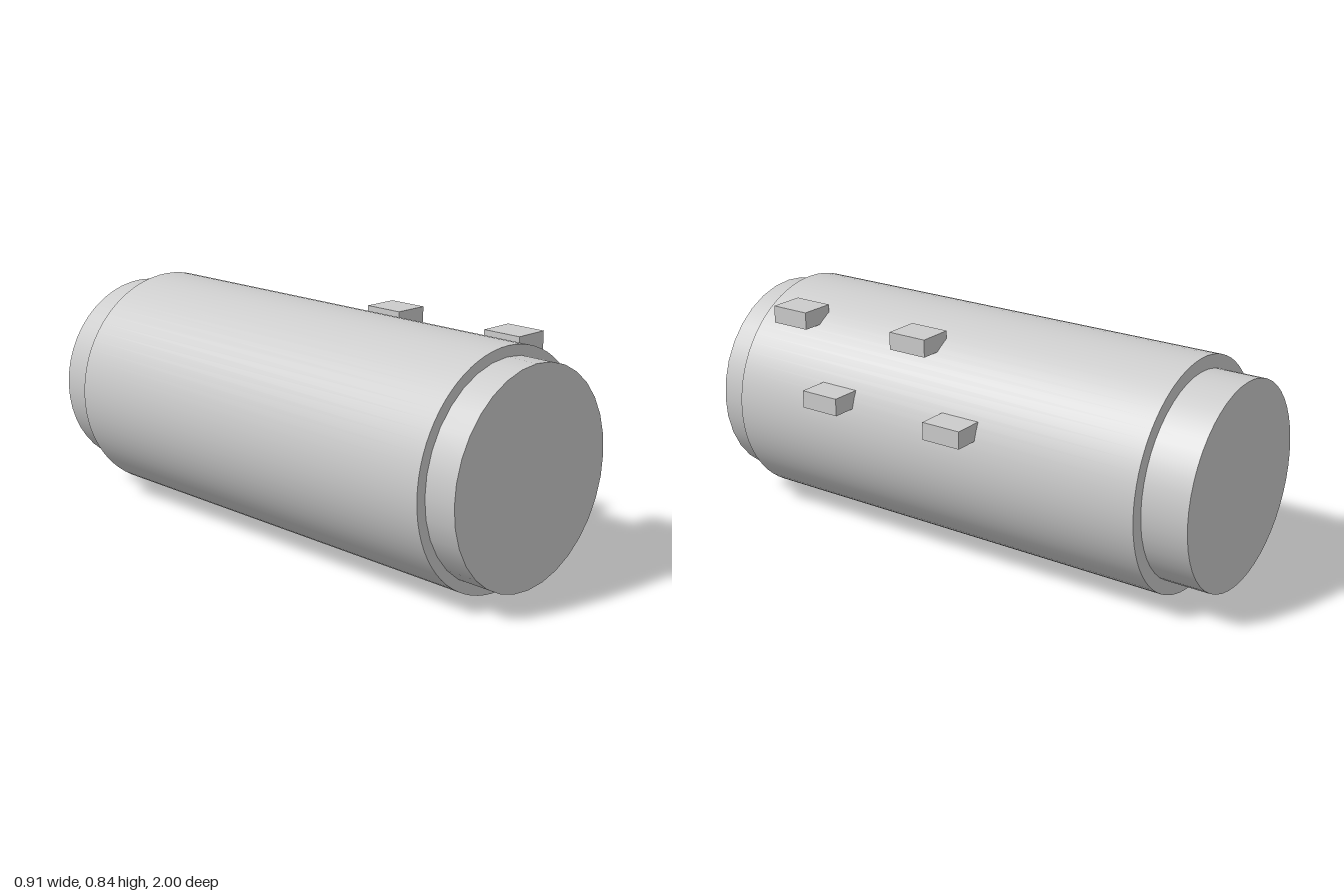
import * as THREE from 'three';

const AXIS_X = -0.038, AXIS_Y = 0.422;

export function createModel() {
  const model = new THREE.Group();
  model.name = 'cylinderWithBlocks';
  const grey = new THREE.MeshStandardMaterial({ color: 0xcccccc });
  grey.name = 'plain grey';

  // Cylinder lying along z, from z0 to z1
  function drum(name, radius, z0, z1, sides) {
    const geometry = new THREE.CylinderGeometry(radius, radius, z1 - z0, sides);
    geometry.rotateX(Math.PI / 2);
    const mesh = new THREE.Mesh(geometry, grey);
    mesh.name = name;
    mesh.position.set(AXIS_X, AXIS_Y, (z0 + z1) / 2);
    model.add(mesh);
  }

  // Main body and the narrower end plugs, slightly sunk into it
  drum('body', 0.42, -0.83, 0.88, 72);
  drum('frontPlug', 0.383, 0.86, 1, 32);
  drum('backPlug', 0.371, -1, -0.81, 48);

  // Two staggered rows of blocks along the left side
  const rows = [
    { name: 'upperBlock', x: 0.226, y: 0.788, zs: [0.695, 0.15] },
    { name: 'lowerBlock', x: 0.391, y: 0.562, zs: [0.42, -0.118] },
  ];
  const block = new THREE.BoxGeometry(0.13, 0.064, 0.153);
  for (const { name, x, y, zs } of rows) {
    for (const z of zs) {
      const mesh = new THREE.Mesh(block, grey);
      mesh.name = name;
      mesh.position.set(x, y, z);
      model.add(mesh);
    }
  }
  return model;
}
